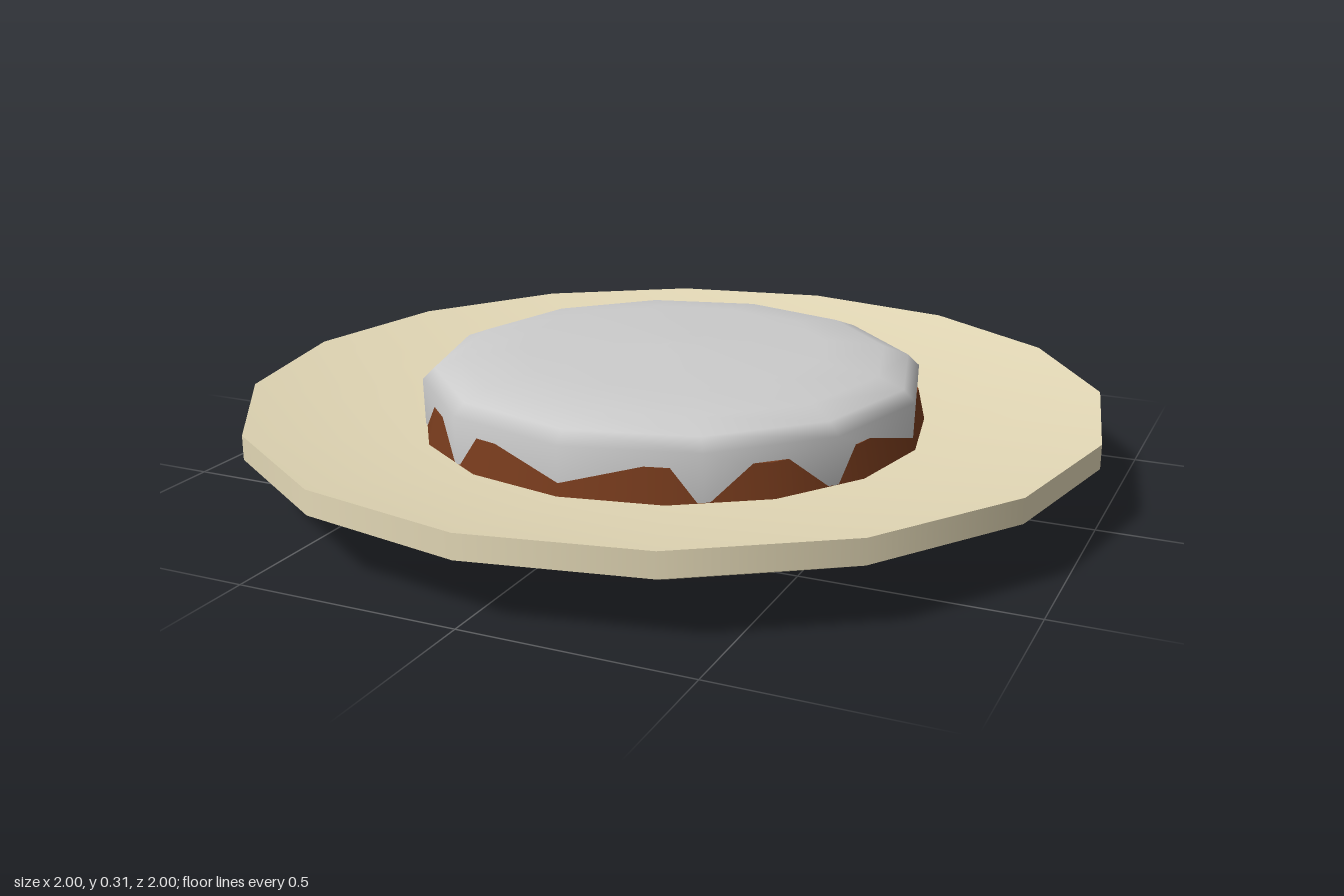
import * as THREE from 'three';

// Revolves [radius, height] points, listed so that faces look outward
function revolve(name, points, sides, color) {
  const profile = points.map(([r, y]) => new THREE.Vector2(r, y));
  const mesh = new THREE.Mesh(
    new THREE.LatheGeometry(profile, sides),
    new THREE.MeshStandardMaterial({ color })
  );
  mesh.name = name;
  return mesh;
}

export function createModel() {
  const model = new THREE.Group();
  model.name = 'filledPlate';

  // Plate: separate surfaces keep the rim edges sharp
  const cream = 0xe3d8b6;
  const plate = new THREE.Group();
  plate.name = 'plate';
  plate.add(
    revolve('plateUnderside', [[0, 0], [0.68, 0], [1, 0.14]], 16, cream),
    revolve('plateEdge', [[1, 0.14], [1, 0.195]], 16, cream),
    revolve('plateTop', [[1, 0.195], [0.59, 0.125], [0, 0.125]], 16, cream)
  );

  // Brown crust, just showing where the coarser topping leaves gaps
  const crust = new THREE.Group();
  crust.name = 'crust';
  crust.add(
    revolve('crustSide', [[0.592, 0.125], [0.575, 0.2]], 16, 0x753a1c),
    revolve('crustTop', [[0.575, 0.2], [0, 0.2]], 16, 0x753a1c)
  );

  // Rounded topping
  const topping = revolve('topping', [
    [0.585, 0.127], [0.588, 0.235], [0.56, 0.262], [0.5, 0.285], [0.36, 0.303], [0, 0.31],
  ], 12, 0xcccccc);

  model.add(plate, crust, topping);
  return model;
}
